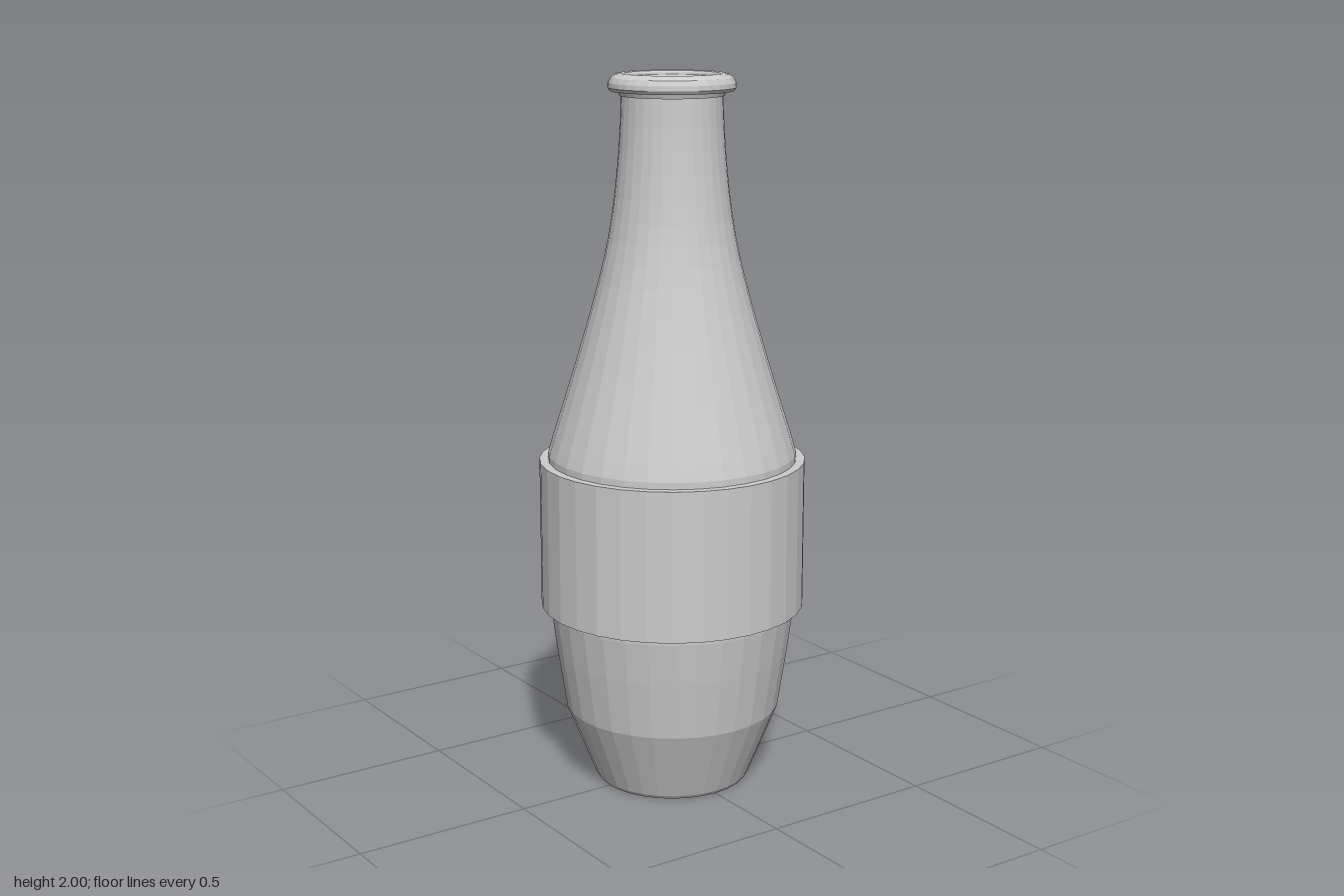
import * as THREE from 'three';

const SIDES = 32;
const material = new THREE.MeshStandardMaterial({ color: 0xcccccc, flatShading: true });

const vec = (points) => points.map(([r, y]) => new THREE.Vector2(r, y));

// Turn a profile of [radius, height] points, listed anticlockwise, around the y axis
function turned(name, points) {
  const mesh = new THREE.Mesh(new THREE.LatheGeometry(points, SIDES), material);
  mesh.name = name;
  return mesh;
}

export function createModel() {
  const group = new THREE.Group();
  group.name = 'bottle';

  // Hollowed foot and lower body
  const base = vec([
    [0, 0.06], [0.1, 0.056], [0.15, 0.042], [0.165, 0.025], [0.178, 0.008], [0.193, 0], [0.215, 0],
    [0.222, 0.01], [0.305, 0.217], [0.33, 0.38], [0.346, 0.5], [0.348, 0.55],
  ]);
  // Shoulder sweeping into the slender neck
  const shoulder = new THREE.SplineCurve(vec([
    [0.334, 1.0], [0.268, 1.21], [0.202, 1.44], [0.166, 1.61], [0.145, 1.8], [0.137, 1.96],
  ])).getPoints(15);
  group.add(turned('body', [...base, ...vec([[0.348, 0.9], [0.347, 0.955]]), ...shoulder]));

  // Raised band around the middle
  group.add(turned('labelBand', vec([
    [0.34, 0.517], [0.372, 0.517], [0.372, 0.937], [0.34, 0.937],
  ])));

  // Rounded lip with a shallow recess
  group.add(turned('lip', vec([
    [0.13, 1.94], [0.142, 1.94], [0.146, 1.952], [0.168, 1.953], [0.174, 1.962], [0.173, 1.975],
    [0.166, 1.989], [0.154, 1.997], [0.14, 2], [0.13, 1.998], [0.126, 1.993], [0.125, 1.985],
  ])));

  // Flat disc closing the mouth
  group.add(turned('mouthCap', vec([[0.127, 1.988], [0, 1.988]])));

  return group;
}
